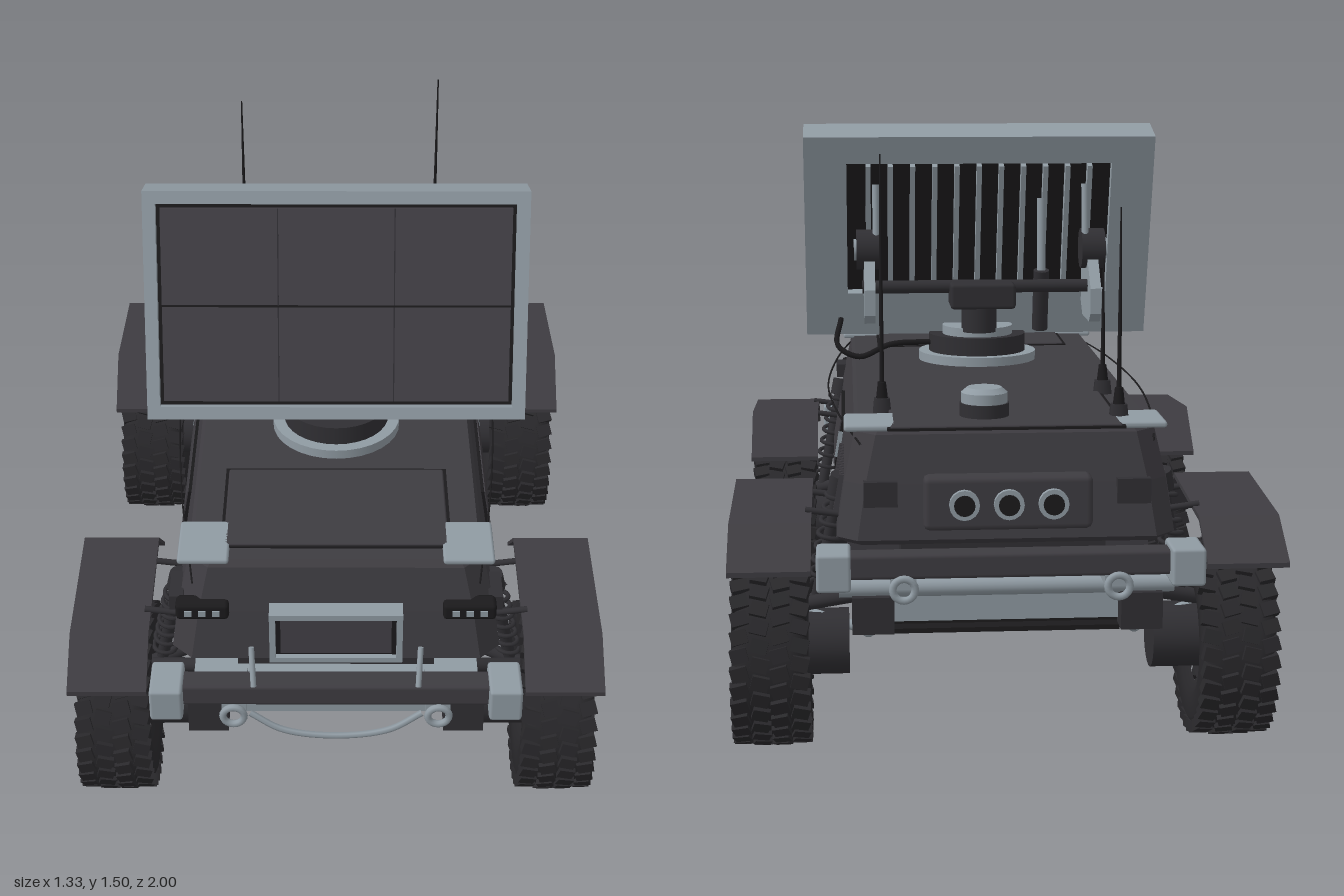
import * as THREE from 'three';
import { mergeGeometries } from 'three/addons/utils/BufferGeometryUtils.js';
import { RoundedBoxGeometry } from 'three/addons/geometries/RoundedBoxGeometry.js';

const mat = (name, color) => Object.assign(new THREE.MeshStandardMaterial({ color }), { name });
const HULL = mat('hullCharcoal', 0x3e3c41), GRAY = mat('steelGray', 0x909ba3), BLACK = mat('black', 0x1b1a1c);
const TIRE = mat('tireRubber', 0x29282b), TRIM = mat('darkTrim', 0x302f33), SCREEN = mat('arrayFace', 0x434046);
const PALE = mat('paleVent', 0xdde0e2);
const V = (x, y, z) => new THREE.Vector3(x, y, z);

export function createModel() {
  const root = new THREE.Group();
  root.name = 'sensorRover';
  const add = (name, geo, m, p = root) => {
    const mesh = new THREE.Mesh(geo, m);
    mesh.name = name;
    p.add(mesh);
    return mesh;
  };
  const box = (name, m, w, h, d, x, y, z, p, r = 0) => {
    const b = add(name, r ? new RoundedBoxGeometry(w, h, d, 1, r) : new THREE.BoxGeometry(w, h, d), m, p);
    b.position.set(x, y, z);
    return b;
  };
  // cylinder between two points
  const rod = (name, m, a, b, r, p, r2 = r, n = 16) => {
    const d = b.clone().sub(a);
    const c = add(name, new THREE.CylinderGeometry(r2, r, d.length(), n), m, p);
    c.position.copy(a).add(b).multiplyScalar(0.5);
    c.quaternion.setFromUnitVectors(V(0, 1, 0), d.normalize());
    return c;
  };
  const tube = (name, m, pts, r, p, seg = 32) =>
    add(name, new THREE.TubeGeometry(new THREE.CatmullRomCurve3(pts), seg, r, 6), m, p);
  // outline given as (z, y), extruded across x
  const sideGeo = (pts, width) => {
    const s = new THREE.Shape(pts.map(q => new THREE.Vector2(...q)));
    return new THREE.ExtrudeGeometry(s, { depth: width, bevelEnabled: false }).translate(0, 0, -width / 2).rotateY(-Math.PI / 2);
  };
  const rect = (P, x0, y0, x1, y1) => {
    const s = new P();
    s.moveTo(x0, y0); s.lineTo(x1, y0); s.lineTo(x1, y1); s.lineTo(x0, y1); s.closePath();
    return s;
  };
  const frameGeo = (o, i, depth) => {
    const s = rect(THREE.Shape, ...o);
    s.holes.push(rect(THREE.Path, ...i));
    return new THREE.ExtrudeGeometry(s, { depth, bevelEnabled: false });
  };
  // stacked chamfered rectangles: [y, half width, half length, chamfer]
  const loft = rings => {
    const pos = [], idx = [];
    for (const [y, w, l, c] of rings)
      for (const [x, z] of [[w, l - c], [w, c - l], [w - c, -l], [c - w, -l], [-w, c - l], [-w, l - c], [c - w, l], [w - c, l]]) pos.push(x, y, z);
    const top = (rings.length - 1) * 8;
    for (let k = 0; k < top; k += 8)
      for (let i = 0; i < 8; i++) {
        const a = k + i, b = k + (i + 1) % 8;
        idx.push(a, b, b + 8, a, b + 8, a + 8);
      }
    for (let i = 1; i < 7; i++) idx.push(0, i + 1, i, top, top + i, top + i + 1);
    const g = new THREE.BufferGeometry().setAttribute('position', new THREE.Float32BufferAttribute(pos, 3)).setIndex(idx).toNonIndexed();
    g.computeVertexNormals();
    return g;
  };

  // hull, roof and chassis
  add('hull', loft([[0.55, 0.385, 0.83, 0.04], [0.57, 0.405, 0.87, 0.05], [0.7, 0.385, 0.85, 0.05], [0.815, 0.36, 0.825, 0.05], [0.83, 0.35, 0.81, 0.05]]), HULL);
  box('frontHatch', HULL, 0.55, 0.012, 0.32, 0, 0.832, 0.6, root, 0.005);
  box('rearHatch', HULL, 0.55, 0.012, 0.44, 0, 0.832, -0.62, root, 0.005);
  add('frontHatchSeam', new THREE.BoxGeometry(0.565, 0.006, 0.335).translate(0, 0.83, 0.6), BLACK);
  add('rearHatchSeam', new THREE.BoxGeometry(0.565, 0.006, 0.455).translate(0, 0.83, -0.62), BLACK);
  box('chassis', GRAY, 0.72, 0.08, 1.66, 0, 0.4, 0);
  box('equipmentBay', HULL, 0.76, 0.11, 0.6, 0, 0.495, -0.28);
  box('frontMount', TRIM, 0.5, 0.11, 0.2, 0, 0.495, 0.64);
  box('rearMount', TRIM, 0.5, 0.11, 0.16, 0, 0.495, -0.66);
  box('upperSkid', BLACK, 0.6, 0.022, 1.3, 0, 0.31, 0);
  box('bellyPlate', BLACK, 0.6, 0.012, 1.3, 0, 0.28, 0);

  for (const s of [1, -1]) {
    const X = x => s * x;
    for (const e of [1, -1]) {
      box('roofCornerCap', GRAY, 0.125, 0.016, 0.16, X(0.322), 0.83, e * 0.745, root, 0.007);
      box('chassisEndCap', TRIM, 0.1, 0.09, 0.07, X(0.32), 0.39, e * 0.85);
      box('bumperEnd', GRAY, 0.08, 0.09, 0.12, X(0.412), 0.525, e * 0.94, root, 0.008);
      const shackle = add('shackle', new THREE.TorusGeometry(0.026, 0.009, 8, 20), GRAY);
      shackle.position.set(X(0.25), 0.48, e * 0.98);
      box('bumperBracket', GRAY, 0.06, 0.05, 0.12, X(0.25), 0.5, e * 0.9);
      // suspension: arms, ball joint, coil spring with damper
      const z = e * 0.635;
      rod('lowerArm', GRAY, V(X(0.33), 0.3, z + e * 0.06), V(X(0.48), 0.33, z), 0.013);
      rod('upperArm', TRIM, V(X(0.34), 0.39, z - 0.05), V(X(0.5), 0.35, z), 0.018);
      rod('upperArm', TRIM, V(X(0.34), 0.39, z + 0.05), V(X(0.5), 0.35, z), 0.018);
      const ball = add('ballJoint', new THREE.SphereGeometry(0.019, 12, 8), GRAY);
      ball.position.set(X(0.33), 0.3, z + e * 0.06);
      const a = V(X(0.455), 0.37, z - e * 0.01), b = V(X(0.39), 0.69, z + e * 0.055);
      rod('damper', TRIM, a, b, 0.016);
      const coil = Array.from({ length: 61 }, (_, i) => {
        const t = i / 60, q = t * 14 * Math.PI;
        return a.clone().lerp(b, 0.1 + t * 0.75).add(V(Math.cos(q) * 0.03, 0, Math.sin(q) * 0.03));
      });
      tube('spring', TRIM, coil, 0.006, root, 150);
      rod('springCap', TRIM, b.clone().lerp(a, 0.15), b, 0.028);
      rod('fenderStay', TRIM, V(X(0.37), 0.6, z - 0.1), V(X(0.48), 0.615, z - 0.1), 0.008);
      rod('fenderStay', TRIM, V(X(0.37), 0.6, z + 0.1), V(X(0.48), 0.615, z + 0.1), 0.008);
      const path = e > 0 ? [[0.94, 0.52], [0.82, 0.605], [0.46, 0.632], [0.33, 0.52]] : [[-0.33, 0.52], [-0.46, 0.632], [-0.82, 0.605], [-0.95, 0.52]];
      const lower = path.map(([pz, py]) => [pz, py - 0.012]).reverse();
      add('fender', sideGeo([...path, ...lower], 0.195), HULL).position.x = X(0.562);
    }
    // side panel with seam, latch and vent
    const skin = new THREE.Group();
    skin.name = 'sidePanels';
    skin.position.set(X(0.396), 0.645, 0);
    skin.rotation.z = s * 0.17;
    root.add(skin);
    box('hatchSeam', BLACK, 0.012, 0.135, 0.46, 0, 0, 0.135, skin);
    box('sideHatch', HULL, 0.018, 0.12, 0.44, 0, 0, 0.135, skin);
    box('hatchLatch', GRAY, 0.02, 0.07, 0.008, 0, 0, -0.105, skin);
    box('ventBack', PALE, 0.009, 0.1, 0.37, s * 0.002, 0, -0.53, skin);
    for (let i = 0; i <= 19; i++) box('ventLouver', HULL, 0.02, 0.105, 0.0085, 0, 0, -0.345 - i * 0.0195, skin);
    box('stepBlock', GRAY, 0.06, 0.055, 0.045, X(0.33), 0.5, 0.04);
    tube('sideCable', BLACK, [V(X(0.345), 0.8, 0.87), V(X(0.4), 0.8, 0.45), V(X(0.427), 0.795, 0), V(X(0.4), 0.8, -0.45), V(X(0.345), 0.8, -0.87)], 0.0025);
    // headlight with lamps, front guard bar
    box('headlight', BLACK, 0.13, 0.045, 0.05, X(0.325), 0.71, 0.845, root, 0.01);
    for (const i of [-1, 0, 1]) box('headlightLamp', GRAY, 0.018, 0.016, 0.006, X(0.325) + i * 0.034, 0.71, 0.871);
    box('tailLight', TRIM, 0.08, 0.06, 0.04, X(0.3), 0.68, -0.85);
    rod('guardBar', GRAY, V(X(0.2), 0.56, 0.965), V(X(0.205), 0.65, 0.925), 0.007);
    box('sideMarker', TRIM, 0.035, 0.04, 0.1, X(0.39), 0.71, 0.78);
  }

  // bumpers, winch line and front grille
  for (const e of [1, -1]) {
    box('bumperBar', HULL, 0.76, 0.06, 0.065, 0, 0.53, e * 0.935, root, 0.01);
    rod('crossTube', GRAY, V(-0.4, 0.45, e * 0.85), V(0.4, 0.45, e * 0.85), 0.022);
  }
  tube('winchLine', GRAY, [V(-0.21, 0.49, 0.98), V(-0.13, 0.445, 0.99), V(0, 0.425, 0.99), V(0.13, 0.445, 0.99), V(0.21, 0.49, 0.98)], 0.008);
  add('grilleFrame', frameGeo([-0.162, -0.073, 0.162, 0.073], [-0.147, -0.058, 0.147, 0.058], 0.05), GRAY).position.set(0, 0.655, 0.852);
  box('grille', BLACK, 0.3, 0.12, 0.04, 0, 0.655, 0.868);
  box('grilleScreen', SCREEN, 0.27, 0.1, 0.01, 0, 0.655, 0.888);

  // rear lamp panel
  box('rearPanel', HULL, 0.4, 0.13, 0.06, 0, 0.66, -0.865, root, 0.015);
  for (const i of [-1, 0, 1]) {
    rod('rearLampRing', GRAY, V(i * 0.105, 0.66, -0.89), V(i * 0.105, 0.66, -0.91), 0.036);
    rod('rearLamp', BLACK, V(i * 0.105, 0.66, -0.9), V(i * 0.105, 0.66, -0.915), 0.025);
  }

  // wheels: lathed tire, staggered tread blocks, spoked rim
  const tireGeo = new THREE.LatheGeometry([[0.12, -0.07], [0.15, -0.088], [0.205, -0.092], [0.228, -0.08], [0.236, -0.05], [0.236, 0.05], [0.228, 0.08], [0.205, 0.092], [0.15, 0.088], [0.12, 0.07]].map(q => new THREE.Vector2(...q)), 48).rotateZ(-Math.PI / 2);
  const blocks = [];
  for (let i = 0; i < 34; i++)
    [-0.072, -0.024, 0.024, 0.072].forEach((x, c) => {
      const outer = c % 3 === 0;
      blocks.push(new THREE.BoxGeometry(0.041, outer ? 0.03 : 0.024, 0.034).rotateY(c % 2 ? 0.25 : -0.25)
        .translate(x, outer ? 0.229 : 0.236, 0).rotateX((i + (c % 2) / 2) * Math.PI * 2 / 34));
    });
  const treadGeo = mergeGeometries(blocks);
  const spokes = [];
  for (let i = 0; i < 8; i++)
    spokes.push(new THREE.CylinderGeometry(0.017, 0.01, 0.065, 4).rotateY(Math.PI / 4).translate(0, 0.075, 0).rotateX(i * Math.PI / 4));
  const spokeGeo = mergeGeometries(spokes);
  for (const s of [1, -1])
    for (const e of [1, -1]) {
      const w = new THREE.Group();
      w.name = 'wheel';
      w.position.set(s * 0.567, 0.25, e * 0.635);
      if (s < 0) w.rotation.y = Math.PI;
      root.add(w);
      add('tire', tireGeo, TIRE, w);
      add('tread', treadGeo, TIRE, w);
      rod('rimDisc', TRIM, V(-0.06, 0, 0), V(0.05, 0, 0), 0.128, w, 0.128, 32);
      add('rimSpokes', spokeGeo, GRAY, w).position.x = 0.052;
      add('rimRing', new THREE.TorusGeometry(0.122, 0.01, 8, 36).rotateY(Math.PI / 2), TRIM, w).position.x = 0.06;
      rod('hubCap', TRIM, V(0.03, 0, 0), V(0.08, 0, 0), 0.042, w, 0.036, 20);
      rod('hubMotor', TRIM, V(-0.19, 0.005, 0), V(-0.06, 0.005, 0), 0.082, w, 0.082, 24);
    }

  // turntable
  const up = (name, m, r, y0, y1, x, z, r2 = r) => rod(name, m, V(x, y0, z), V(x, y1, z), r, root, r2, 32);
  up('turntablePlate', GRAY, 0.168, 0.825, 0.855, 0, 0.215);
  up('turntableRing', TRIM, 0.138, 0.855, 0.905, 0, 0.215);
  up('turntableHead', GRAY, 0.1, 0.905, 0.93, 0, 0.2);
  up('mast', TRIM, 0.05, 0.92, 1.06, 0, 0.13);
  box('driveBox', TRIM, 0.18, 0.07, 0.12, 0, 1.04, 0.01, root, 0.01);
  rod('tiltShaft', TRIM, V(-0.33, 1.06, 0.03), V(0.33, 1.06, 0.03), 0.018);
  for (const s of [1, -1]) {
    add('tiltBracket', sideGeo([[0.17, 1.15], [0.04, 1.15], [0, 1.11], [-0.05, 1.06], [-0.05, 0.99], [-0.02, 0.965], [0.13, 0.965], [0.17, 1.0]], 0.03), GRAY).position.x = s * 0.31;
    rod('tiltHub', TRIM, V(s * 0.28, 1.16, 0.07), V(s * 0.345, 1.16, 0.07), 0.056);
    rod('tiltHubCap', GRAY, V(s * 0.34, 1.16, 0.07), V(s * 0.352, 1.16, 0.07), 0.03);
    rod('tiltStrut', GRAY, V(s * 0.29, 1.16, 0.04), V(s * 0.29, 1.34, 0.06), 0.01);
  }
  rod('actuator', TRIM, V(-0.17, 0.93, 0.1), V(-0.17, 1.1, 0.06), 0.022);
  rod('actuatorRod', GRAY, V(-0.17, 1.1, 0.06), V(-0.17, 1.3, 0.07), 0.012);

  // tilted antenna panel with ribbed back
  const panel = new THREE.Group();
  panel.name = 'antennaPanel';
  panel.position.set(0, 1.2, 0.21);
  panel.rotation.x = -0.29;
  root.add(panel);
  add('panelFrame', frameGeo([-0.488, -0.298, 0.488, 0.298], [-0.455, -0.265, 0.455, 0.265], 0.085), GRAY, panel).position.z = -0.027;
  add('panelBack', frameGeo([-0.488, -0.298, 0.488, 0.298], [-0.37, -0.17, 0.37, 0.22], 0.03), GRAY, panel).position.z = -0.057;
  box('panelCore', BLACK, 0.93, 0.54, 0.055, 0, 0, 0.005, panel);
  box('arrayFace', SCREEN, 0.89, 0.505, 0.02, 0, 0, 0.036, panel);
  box('arraySeam', BLACK, 0.89, 0.005, 0.004, 0, 0, 0.0455, panel);
  for (const x of [-0.148, 0.148]) box('arraySeam', TRIM, 0.003, 0.505, 0.003, x, 0, 0.0455, panel);
  for (let i = -5; i <= 5; i++) box('coolingRib', GRAY, 0.014, 0.37, 0.03, i * 0.062, 0.025, -0.038, panel);

  // roof dome, whip antennas and cable
  up('domeBase', TRIM, 0.06, 0.83, 0.87, 0.045, -0.71);
  up('domeBody', GRAY, 0.056, 0.87, 0.895, 0.045, -0.71);
  up('domeTop', GRAY, 0.056, 0.895, 0.907, 0.045, -0.71, 0.042);
  for (const [x, z, h] of [[-0.285, -0.39, 1.18], [0.29, -0.61, 1.46], [-0.28, -0.73, 1.34]]) {
    rod('antennaFoot', TRIM, V(x, 0.83, z), V(x, 0.865, z), 0.026, root, 0.022, 6);
    up('antennaBase', BLACK, 0.015, 0.86, 0.905, x, z, 0.01);
    up('antennaWhip', BLACK, 0.006, 0.9, h, x, z, 0.002);
  }
  tube('panelCable', BLACK, [V(0.12, 0.88, 0.2), V(0.25, 0.88, 0.16), V(0.34, 0.85, 0.13), V(0.4, 0.88, 0.15), V(0.39, 0.95, 0.2)], 0.008);
  return root;
}
